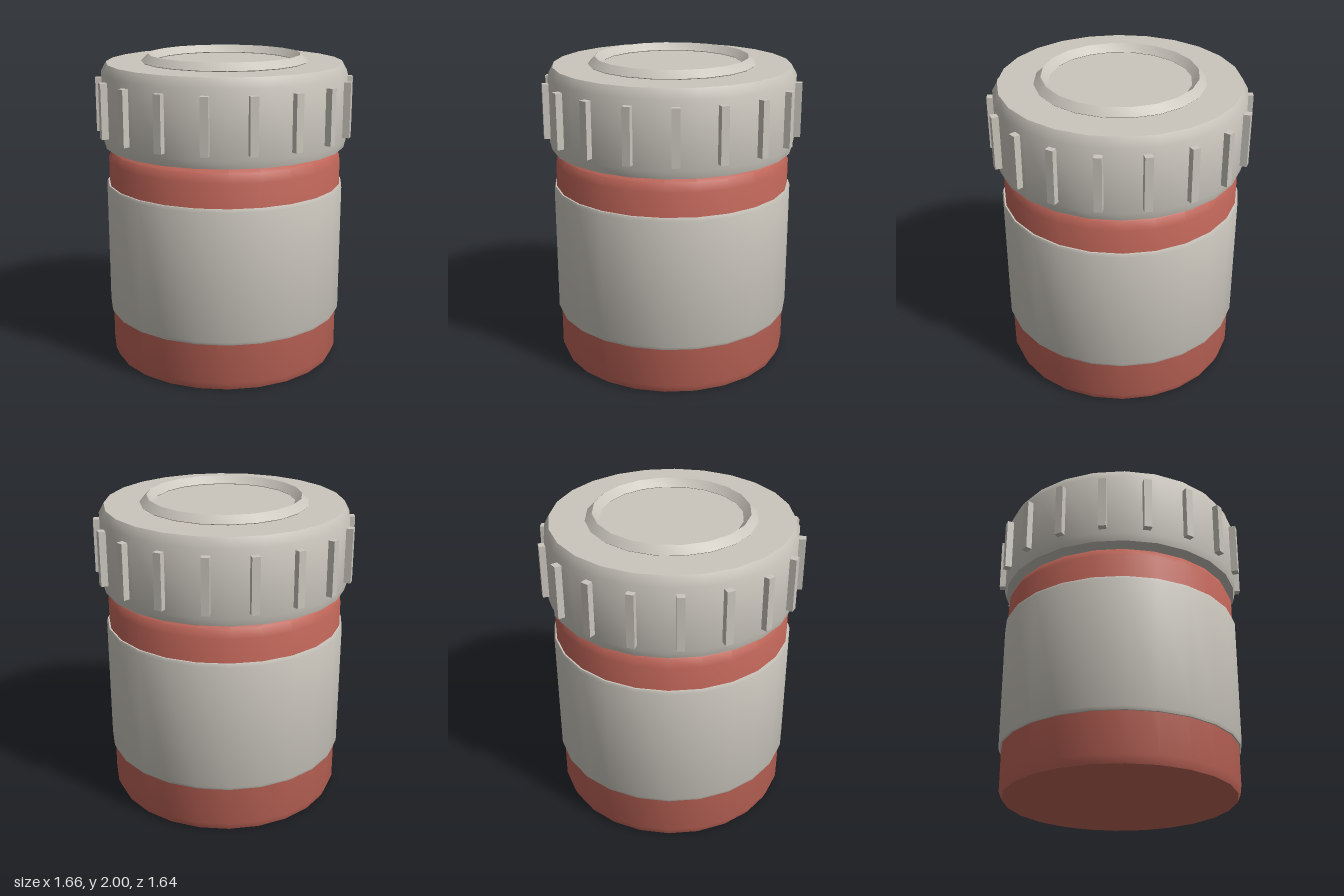
import * as THREE from 'three';
import { toCreasedNormals } from 'three/addons/utils/BufferGeometryUtils.js';

export function createModel() {
  const jar = new THREE.Group();
  jar.name = 'jar';

  const grey = new THREE.MeshStandardMaterial({ color: 0xcac6bd });
  grey.name = 'warm grey';
  const red = new THREE.MeshStandardMaterial({ color: 0xbf6558 });
  red.name = 'brick red';

  // Turned part from [radius, height] points, listed bottom to top
  function turned(name, profile, sides, material) {
    const points = profile.map(([r, y]) => new THREE.Vector2(r, y));
    const geometry = toCreasedNormals(new THREE.LatheGeometry(points, sides), 0.6);
    const mesh = new THREE.Mesh(geometry, material);
    mesh.name = name;
    jar.add(mesh);
  }

  // Jar body with a rounded shoulder
  turned('body', [
    [0, 0], [0.74, 0], [0.76, 0.05], [0.76, 1.33],
    [0.735, 1.385], [0.68, 1.42], [0, 1.43],
  ], 24, red);

  // Wrap-around label band
  turned('labelBand', [
    [0.75, 0.31], [0.77, 0.31], [0.777, 0.33],
    [0.777, 1.155], [0.77, 1.175], [0.75, 1.175],
  ], 24, grey);

  // Screw lid
  turned('lid', [
    [0, 1.42], [0.78, 1.42], [0.793, 1.47],
    [0.793, 1.89], [0.76, 1.95], [0, 1.95],
  ], 24, grey);

  // Raised ring on the lid, diamond in section
  turned('lidRing', [
    [0.49, 1.91], [0.535, 1.955], [0.49, 2], [0.445, 1.955], [0.49, 1.91],
  ], 20, grey);

  // Grip ribs around the lid
  const ribGeometry = new THREE.BoxGeometry(0.06, 0.35, 0.05);
  const ribs = new THREE.Group();
  ribs.name = 'gripRibs';
  const count = 18;
  for (let i = 0; i < count; i++) {
    const angle = (i / count) * Math.PI * 2;
    const rib = new THREE.Mesh(ribGeometry, grey);
    rib.name = 'gripRib';
    rib.position.set(Math.cos(angle) * 0.8, 1.675, Math.sin(angle) * 0.8);
    rib.rotation.y = -angle;
    ribs.add(rib);
  }
  jar.add(ribs);

  return jar;
}
